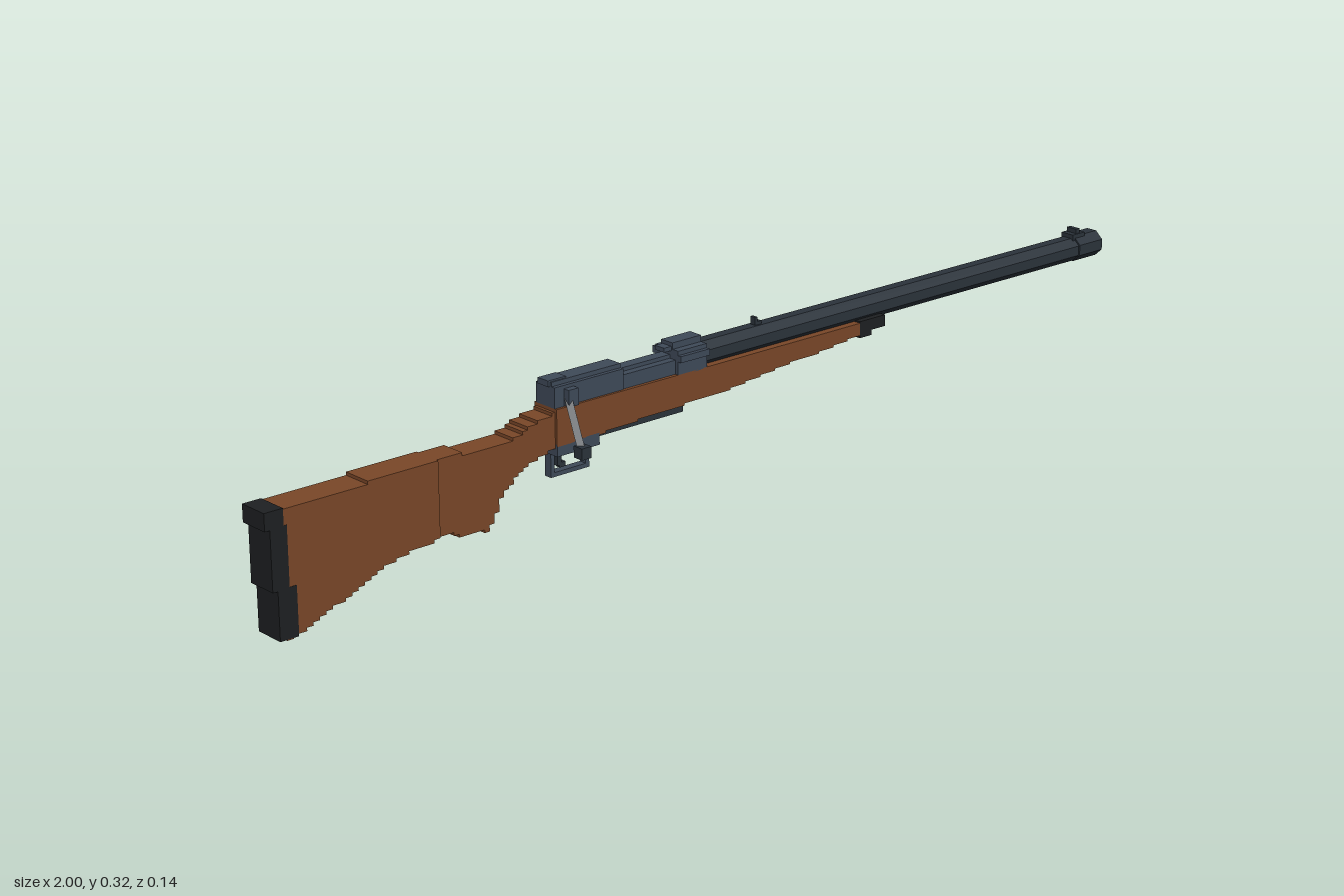
import * as THREE from 'three';

const CZ = -0.03; // centre plane of the body
const mat = (color) => new THREE.MeshStandardMaterial({ color, flatShading: true });
const wood = mat(0x7a4728), steel = mat(0x3f4a59), darkSteel = mat(0x2b333b), black = mat(0x1e2022);

export function createModel() {
  const root = new THREE.Group();

  const add = (name, geometry, material) => {
    const m = new THREE.Mesh(geometry, material);
    m.name = name;
    root.add(m);
    return m;
  };

  // Box given by its limits on each axis
  const box = (name, material, x0, x1, y0, y1, z0, z1) => {
    const m = add(name, new THREE.BoxGeometry(x1 - x0, y1 - y0, z1 - z0), material);
    m.position.set((x0 + x1) / 2, (y0 + y1) / 2, (z0 + z1) / 2);
    return m;
  };

  // Linear interpolation along a list of [x, y]
  const sample = (pts, x) => {
    for (let i = 1; i < pts.length; i++) {
      const [ax, ay] = pts[i - 1], [bx, by] = pts[i];
      if (x <= bx) return ay + (by - ay) * Math.max(0, (x - ax) / (bx - ax));
    }
    return pts[pts.length - 1][1];
  };

  // Solid whose top and bottom follow two curves in block steps
  const stepped = (name, material, x0, x1, top, bottom, width, grid = 0.006, n = 24) => {
    const snap = (y) => Math.round(y / grid) * grid;
    const upper = [], lower = [];
    for (let i = 0; i < n; i++) {
      const a = x0 + ((x1 - x0) * i) / n, b = x0 + ((x1 - x0) * (i + 1)) / n;
      const t = snap(sample(top, (a + b) / 2)), u = snap(sample(bottom, (a + b) / 2));
      upper.push(new THREE.Vector2(a, t), new THREE.Vector2(b, t));
      lower.push(new THREE.Vector2(a, u), new THREE.Vector2(b, u));
    }
    const shape = new THREE.Shape([...lower, ...upper.reverse()]);
    const g = new THREE.ExtrudeGeometry(shape, { depth: width, bevelEnabled: false });
    g.translate(0, 0, CZ - width / 2);
    return add(name, g, material);
  };

  // Eight-sided bar along x
  const bar = (name, material, x0, x1, y, height, width) => {
    const g = new THREE.CylinderGeometry(0.5, 0.5, 1, 8);
    g.rotateY(Math.PI / 8).rotateZ(Math.PI / 2);
    const k = 1 / Math.cos(Math.PI / 8);
    g.scale(x1 - x0, height * k, width * k);
    add(name, g, material).position.set((x0 + x1) / 2, y, CZ);
  };

  // Wooden stock: butt, grip and fore-end
  const top = [[-0.98, 0.228], [-0.8, 0.228], [-0.795, 0.236], [-0.6, 0.236], [-0.59, 0.228],
    [-0.5, 0.228], [-0.44, 0.246], [-0.4, 0.256]];
  const bottom = [[-0.96, 0], [-0.92, 0.012], [-0.85, 0.04], [-0.76, 0.076], [-0.7, 0.092], [-0.62, 0.094],
    [-0.595, 0.084], [-0.545, 0.08], [-0.53, 0.1], [-0.515, 0.13], [-0.49, 0.155], [-0.45, 0.178], [-0.39, 0.194]];
  stepped('butt', wood, -0.966, -0.65, top, bottom, 0.06);
  stepped('grip', wood, -0.65, -0.39, top, bottom, 0.05);
  stepped('foreEnd', wood, -0.395, 0.335, [[-0.395, 0.264], [0.335, 0.264]],
    [[-0.395, 0.194], [0, 0.21], [0.335, 0.242]], 0.06, 0.004, 20);
  box('foreEndTip', black, 0.33, 0.36, 0.235, 0.267, -0.06, 0);
  box('foreEndTip', black, 0.36, 0.395, 0.245, 0.267, -0.06, 0);

  // Butt pad in slanted steps
  box('buttPad', black, -1, -0.963, 0.198, 0.23, -0.0605, 0.0005);
  box('buttPad', black, -0.99, -0.957, 0.09, 0.2, -0.0605, 0.0005);
  box('buttPad', black, -0.98, -0.943, 0.002, 0.092, -0.0605, 0.0005);

  // Barrel and muzzle
  bar('barrel', darkSteel, -0.06, 0.95, 0.283, 0.046, 0.05);
  bar('muzzle', darkSteel, 0.935, 1, 0.284, 0.05, 0.056);

  // Sights
  box('frontSightBase', darkSteel, 0.928, 0.962, 0.3, 0.314, -0.045, -0.015);
  box('frontSight', darkSteel, 0.94, 0.95, 0.31, 0.323, -0.042, -0.018);
  box('rearSight', darkSteel, 0.088, 0.094, 0.3, 0.321, -0.036, -0.024);
  box('rearSight', darkSteel, 0.094, 0.104, 0.3, 0.312, -0.036, -0.024);

  // Receiver
  box('receiverRear', steel, -0.395, -0.24, 0.252, 0.302, -0.055, -0.005);
  box('receiverRearTop', steel, -0.395, -0.24, 0.3, 0.31, -0.047, -0.013);
  box('rearLip', steel, -0.4, -0.36, 0.302, 0.313, -0.044, -0.016);
  box('bolt', steel, -0.24, -0.115, 0.262, 0.29, -0.053, -0.007);
  box('boltTop', steel, -0.24, -0.115, 0.288, 0.297, -0.045, -0.022);
  box('sideRail', wood, -0.23, -0.12, 0.26, 0.272, -0.068, -0.055);
  box('receiverRing', steel, -0.118, -0.05, 0.262, 0.308, -0.06, 0);
  box('receiverRingTop', steel, -0.118, -0.05, 0.306, 0.32, -0.045, -0.015);
  box('ringTab', steel, -0.135, -0.115, 0.305, 0.313, -0.042, -0.018);
  box('ringEar', steel, -0.118, -0.05, 0.29, 0.303, -0.068, -0.055);
  box('ringEar', steel, -0.118, -0.05, 0.288, 0.3, -0.005, 0.008);

  // Bolt handle, angled out and down
  const from = new THREE.Vector3(-0.365, 0.278, -0.005), to = new THREE.Vector3(-0.387, 0.203, 0.056);
  const dir = to.clone().sub(from);
  const handle = add('boltHandle', new THREE.BoxGeometry(0.013, dir.length(), 0.013), darkSteel);
  handle.position.copy(from).add(to).multiplyScalar(0.5);
  handle.quaternion.setFromUnitVectors(new THREE.Vector3(0, 1, 0), dir.normalize());
  box('boltKnob', darkSteel, -0.398, -0.377, 0.191, 0.212, 0.048, 0.07);
  box('boltRoot', steel, -0.374, -0.352, 0.265, 0.296, -0.01, 0.008);

  // Floor plate, trigger guard and trigger
  box('guardPlate', steel, -0.395, -0.3, 0.178, 0.2, -0.06, 0);
  box('floorPlate', darkSteel, -0.3, -0.1, 0.19, 0.206, -0.052, -0.008);
  const guard = (x0, x1, y0, y1) => box('triggerGuard', steel, x0, x1, y0, y1, -0.038, -0.022);
  guard(-0.392, -0.384, 0.138, 0.18);
  guard(-0.314, -0.306, 0.138, 0.18);
  guard(-0.392, -0.306, 0.133, 0.141);
  box('trigger', darkSteel, -0.375, -0.366, 0.15, 0.18, -0.035, -0.025);
  box('trigger', darkSteel, -0.37, -0.357, 0.146, 0.155, -0.035, -0.025);

  return root;
}
